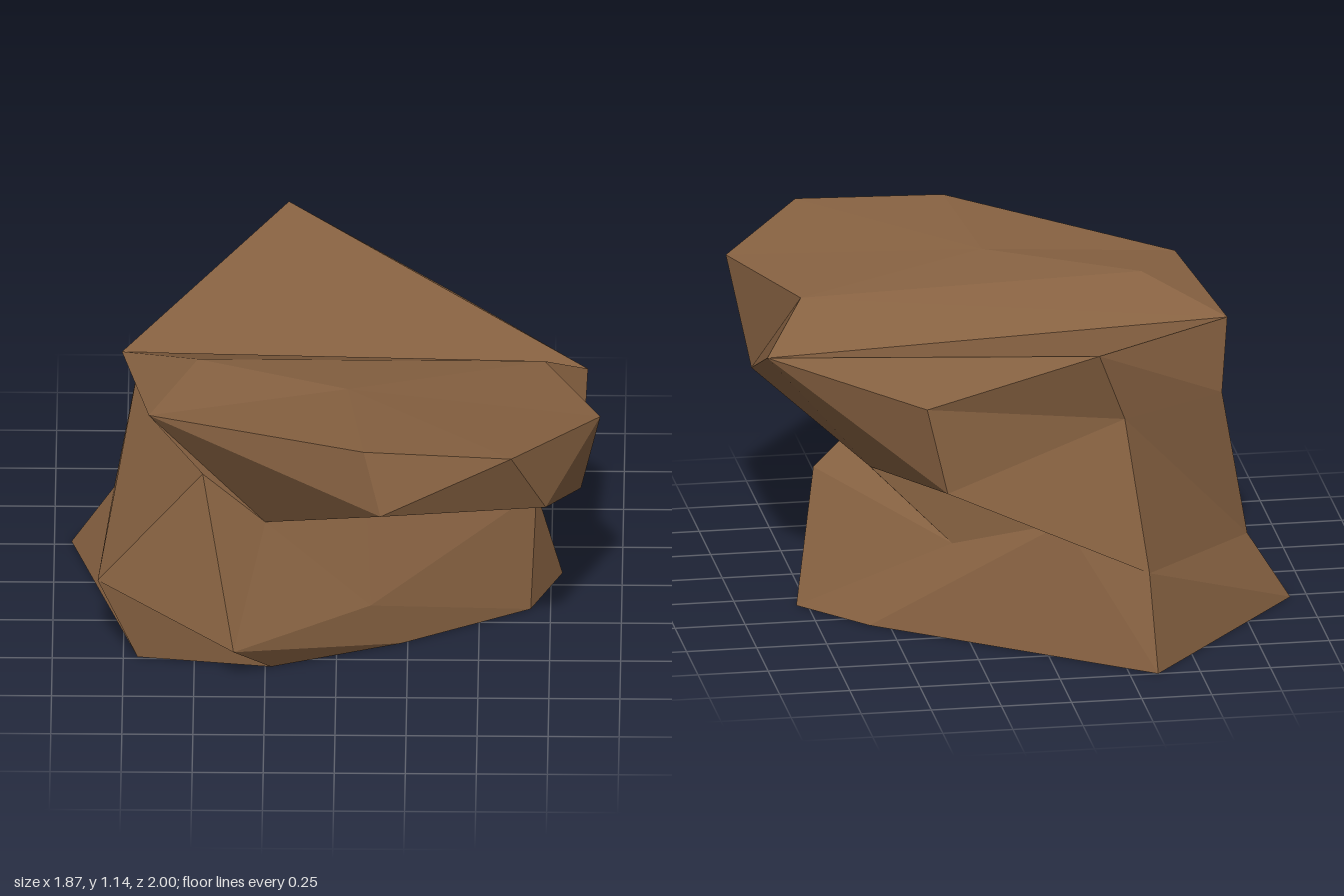
import * as THREE from 'three';

// Cross-sections of the rock from the ground up, eight corners each,
// running left side, front, right side, back
const base = [
  [-0.94, 0, -0.27], [-0.70, 0, 0.49], [-0.23, 0, 0.55], [0.23, 0, 0.39],
  [0.68, 0, 0.16], [0.79, 0, -0.08], [0.57, 0, -0.33], [-0.35, 0, -1.0],
];
const ledge = [
  [-0.79, 0.24, -0.25], [-0.84, 0.33, 0.51], [-0.36, 0.16, 0.71], [0.12, 0.20, 0.46],
  [0.70, 0.45, 0.10], [0.28, 0.30, -0.36], [-0.07, 0.46, -0.66], [-0.34, 0.33, -0.87],
];
const waist = [
  [-0.70, 0.77, -0.25], [-0.47, 0.80, 0.55], [-0.25, 0.57, 0.50], [0.10, 0.64, 0.33],
  [0.60, 0.54, 0.12], [0.53, 0.51, -0.10], [0.33, 0.56, -0.57], [-0.28, 0.85, -0.70],
];
const brow = [
  [-0.76, 0.96, 0], [-0.66, 1.03, 0.53], [0.16, 0.91, 1.0], [0.74, 0.84, 0.82],
  [0.86, 0.70, 0.47], [0.88, 0.90, 0], [0.40, 0.87, -0.55], [-0.18, 1.11, -0.76],
];

// Corners of the overhanging top slab
const frontLeft = [0.10, 1.14, 0.94], frontRight = [0.62, 1.14, 0.98];
const sideFront = [0.93, 1.08, 0.60], sideBack = [0.73, 1.05, 0.19];
const ridgeLeft = [-0.49, 1.07, 0.22], ridgeMid = [0.04, 1.10, 0.46];

function facetedMesh(name, triangles, material) {
  const geometry = new THREE.BufferGeometry();
  geometry.setAttribute('position', new THREE.Float32BufferAttribute(triangles.flat(2), 3));
  geometry.computeVertexNormals();
  const mesh = new THREE.Mesh(geometry, material);
  mesh.name = name;
  return mesh;
}

// Joins two neighbouring cross-sections with facets
function band(lower, upper) {
  const triangles = [];
  lower.forEach((a, i) => {
    const j = (i + 1) % lower.length;
    triangles.push([a, lower[j], upper[i]], [lower[j], upper[j], upper[i]]);
  });
  return triangles;
}

export function createModel() {
  const group = new THREE.Group();
  group.name = 'boulder';
  // The shell is hollow and open underneath, so both sides show
  const rock = new THREE.MeshStandardMaterial({ color: 0x866141, side: THREE.DoubleSide });
  rock.name = 'brown rock';
  rock.flatShading = true;

  // Three bands of the body
  group.add(facetedMesh('foot', band(base, ledge), rock));
  group.add(facetedMesh('body', band(ledge, waist), rock));
  group.add(facetedMesh('overhang', band(waist, brow), rock));

  const [left, cornerLeft, lipLeft, lipRight, cornerRight, right, backRight, peak] = brow;

  // Upright rim around the front of the slab
  group.add(facetedMesh('slabRim', [
    [cornerLeft, lipLeft, frontLeft], [lipLeft, frontRight, frontLeft],
    [lipLeft, lipRight, frontRight], [lipRight, sideFront, frontRight],
    [lipRight, cornerRight, sideFront], [cornerRight, sideBack, sideFront],
    [cornerRight, right, sideBack],
  ], rock));

  // Gently domed slab top, meeting the back slope in a valley
  group.add(facetedMesh('slabTop', [
    [left, sideBack, right], [left, ridgeLeft, sideBack], [left, cornerLeft, ridgeLeft],
    [ridgeLeft, ridgeMid, sideBack], [cornerLeft, ridgeMid, ridgeLeft],
    [cornerLeft, frontLeft, ridgeMid], [frontLeft, frontRight, ridgeMid],
    [frontRight, sideFront, ridgeMid], [sideFront, sideBack, ridgeMid],
  ], rock));

  // Slope rising from the valley to the back peak
  group.add(facetedMesh('backSlope', [
    [left, right, peak], [right, backRight, peak],
  ], rock));

  return group;
}
